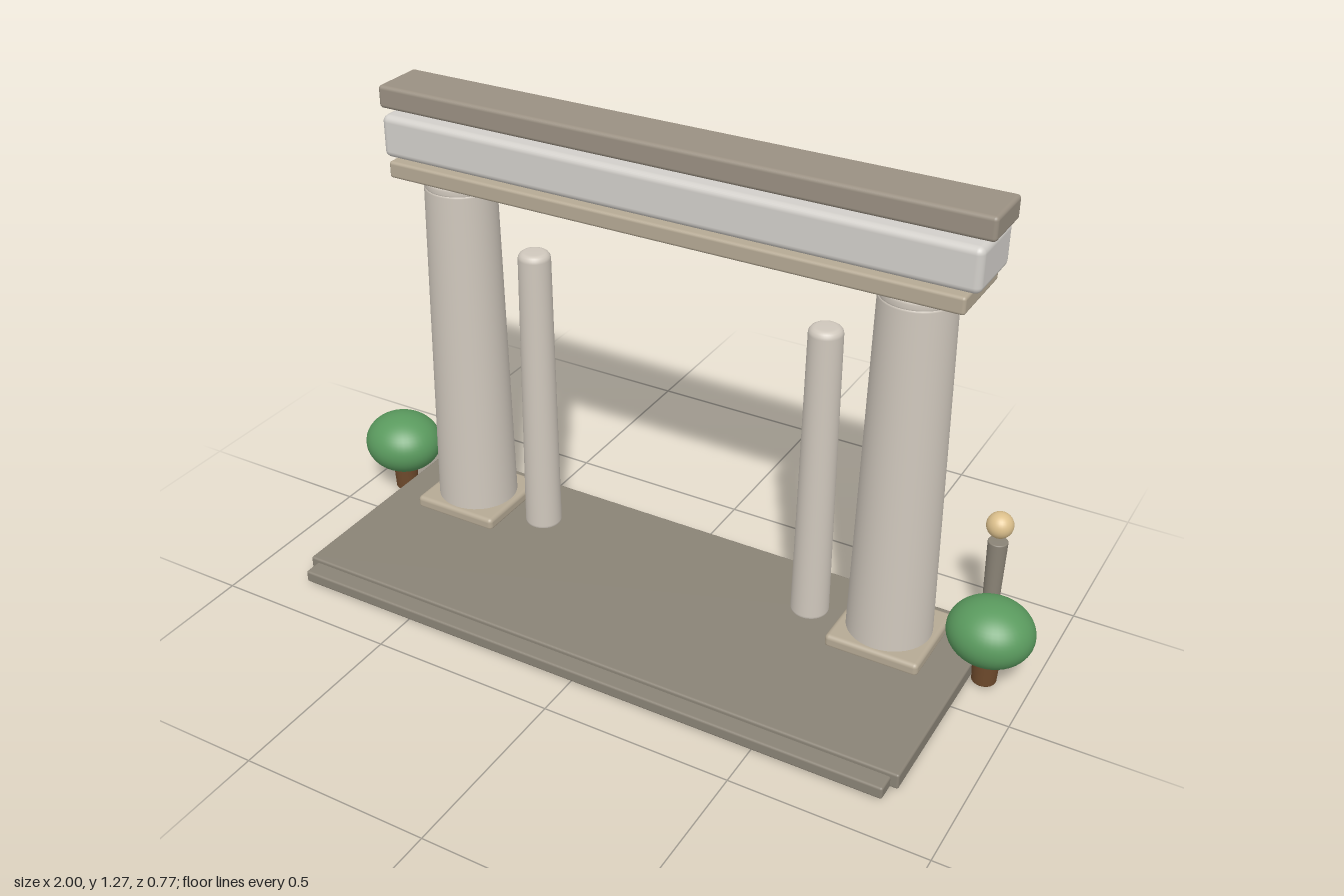
import * as THREE from 'three';
import { RoundedBoxGeometry } from 'three/addons/geometries/RoundedBoxGeometry.js';

const mat = (color) => new THREE.MeshStandardMaterial({ color });
const stone = mat(0xcfc7bc), pale = mat(0xd2cfca), tan = mat(0xb5a994);
const slab = mat(0x9a9082), paving = mat(0x8a8376);
const leaf = mat(0x5a9a5e), bark = mat(0x6e4a2c), globe = mat(0xdcc08c);

const Z = -0.13; // line of the colonnade

export function createModel() {
  const model = new THREE.Group();
  model.name = 'gateway';

  const add = (name, geometry, material, x = 0, y = 0, z = 0) => {
    const mesh = new THREE.Mesh(geometry, material);
    mesh.name = name;
    mesh.position.set(x, y, z);
    model.add(mesh);
    return mesh;
  };

  // Rounded block given by its half width, y range and z range
  const block = (name, material, halfX, y0, y1, z0, z1, radius, x = 0) =>
    add(name, new RoundedBoxGeometry(halfX * 2, y1 - y0, z1 - z0, 3, radius),
      material, x, (y0 + y1) / 2, (z0 + z1) / 2);

  // Tapered shaft with softly rounded rims
  const shaft = (name, material, x, z, y0, y1, r0, r1, bevel) => {
    const p = [new THREE.Vector2(0, y0), new THREE.Vector2(r0 - bevel, y0)];
    for (let i = 1; i <= 4; i++) {
      const a = (i / 4) * Math.PI / 2;
      p.push(new THREE.Vector2(r0 - bevel + Math.sin(a) * bevel, y0 + bevel * (1 - Math.cos(a))));
    }
    for (let i = 0; i <= 4; i++) {
      const a = (i / 4) * Math.PI / 2;
      p.push(new THREE.Vector2(r1 - bevel + Math.cos(a) * bevel, y1 - bevel + Math.sin(a) * bevel));
    }
    p.push(new THREE.Vector2(0, y1));
    return add(name, new THREE.LatheGeometry(p, 40), material, x, 0, z);
  };

  // Floor and front step
  block('platform', paving, 0.855, 0.01, 0.052, -0.30, 0.34, 0.006);
  block('frontStep', paving, 0.835, 0.008, 0.041, 0.27, 0.387, 0.006);

  // Stacked beam
  block('architrave', tan, 0.775, 1.04, 1.085, -0.238, -0.025, 0.008);
  block('frieze', pale, 0.80, 1.087, 1.20, -0.225, -0.038, 0.018);
  block('cornice', slab, 0.817, 1.21, 1.27, -0.207, -0.056, 0.01);

  for (const [side, s] of [['Left', 1], ['Right', -1]]) {
    // Main column on its plinth, with a neck ring under the beam
    block('plinth' + side, tan, 0.125, 0.045, 0.082, -0.254, -0.008, 0.012, s * 0.63);
    shaft('column' + side, stone, s * 0.63, Z, 0.004, 1.02, 0.111, 0.094, 0.008);
    shaft('capital' + side, stone, s * 0.63, Z, 1.008, 1.042, 0.093, 0.093, 0.012);

    // Slim inner column
    shaft('innerColumn' + side, stone, s * 0.41, Z, 0.04, 0.875, 0.05, 0.043, 0.018);

    // Round shrub on a short trunk
    shaft('trunk' + side, bark, s * 0.888, Z, 0.01, 0.1, 0.031, 0.035, 0.004);
    add('shrub' + side, new THREE.SphereGeometry(1, 40, 28), leaf, s * 0.89, 0.16, -0.132)
      .scale.set(0.11, 0.085, 0.103);

    // Lamp post and globe behind the platform
    shaft('lampPost' + side, paving, s * 0.818, -0.352, 0.006, 0.27, 0.02, 0.026, 0.003);
    add('lampGlobe' + side, new THREE.SphereGeometry(0.035, 28, 20), globe, s * 0.818, 0.318, -0.352);
  }

  return model;
}
